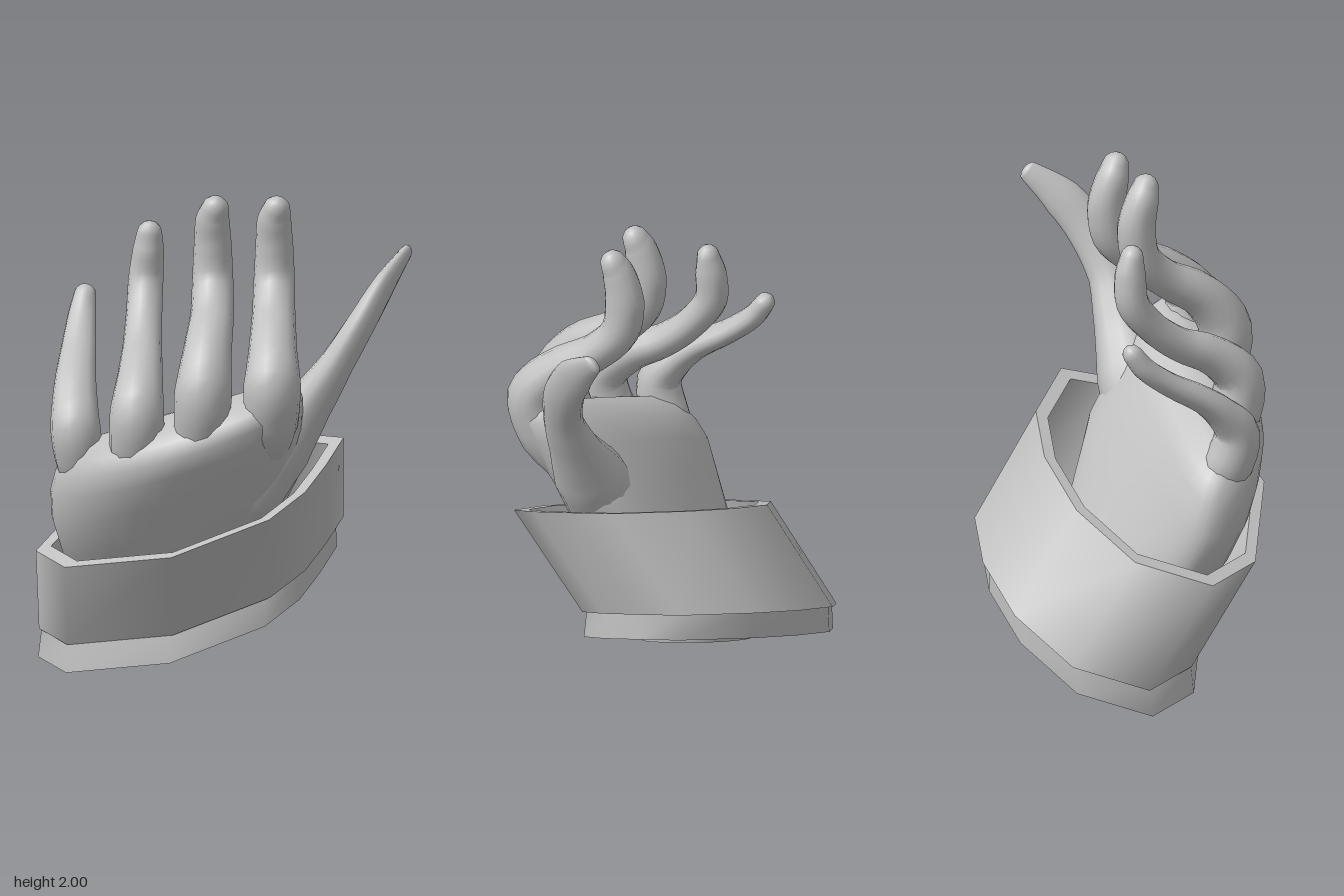
import * as THREE from 'three';

const V = (x, y, z) => new THREE.Vector3(x, y, z);

// Skin a list of equal-length rings; an optional cap closes the far end
function loft(rings, capEnd = false) {
  const n = rings[0].length, pts = rings.flat(), index = [];
  for (let i = 0; i < rings.length - 1; i++) {
    for (let j = 0; j < n; j++) {
      const a = i * n + j, b = i * n + (j + 1) % n;
      index.push(a, b, b + n, a, b + n, a + n);
    }
  }
  if (capEnd) {
    const base = pts.length - n;
    pts.push(rings[rings.length - 1].reduce((s, p) => s.add(p), V(0, 0, 0)).divideScalar(n));
    for (let j = 0; j < n; j++) index.push(base + j, base + (j + 1) % n, base + n);
  }
  const g = new THREE.BufferGeometry().setFromPoints(pts);
  g.setIndex(index);
  g.computeVertexNormals();
  return g;
}

// Finger: rows of [x, y, z, halfWidth, halfThickness] along a smooth path with a round tip
function finger(rows, sideHint) {
  const curve = new THREE.CatmullRomCurve3(rows.map(r => V(r[0], r[1], r[2])));
  const steps = (rows.length - 1) * 4, sides = 14, rings = [];
  const addRing = (c, tan, w, t) => {
    const side = sideHint.clone().addScaledVector(tan, -sideHint.dot(tan)).normalize();
    const nor = tan.clone().cross(side);
    rings.push(Array.from({ length: sides }, (_, j) => {
      const a = j / sides * Math.PI * 2;
      return c.clone().addScaledVector(side, Math.cos(a) * w).addScaledVector(nor, Math.sin(a) * t);
    }));
  };
  for (let i = 0; i <= steps; i++) {
    const f = i / steps * (rows.length - 1), k = Math.min(Math.floor(f), rows.length - 2);
    const mix = q => THREE.MathUtils.lerp(rows[k][q], rows[k + 1][q], f - k);
    addRing(curve.getPoint(i / steps), curve.getTangent(i / steps), mix(3), mix(4));
  }
  const end = curve.getPoint(1), tan = curve.getTangent(1), last = rows[rows.length - 1];
  for (const a of [0.5, 1, 1.4]) {
    addRing(end.clone().addScaledVector(tan, Math.sin(a) * last[4]), tan, last[3] * Math.cos(a), last[4] * Math.cos(a));
  }
  return loft(rings, true);
}

// Palm: rows of [x, y, z, halfWidth, halfThickness, bow], sections slanting up to +x, open at the wrist
function palm(rows) {
  const sides = 40;
  return loft(rows.map(([x, y, z, w, t, bow]) => Array.from({ length: sides }, (_, j) => {
    const a = j / sides * Math.PI * 2;
    const u = Math.cos(a), v = -Math.sign(Math.sin(a)) * Math.abs(Math.sin(a)) ** 0.8;
    return V(x + u * w, y + u * w * 0.37 - v * t * 0.15, z + v * t + bow * (0.9 * u - 0.5 * u * u));
  })), true);
}

// Cuff outline (x, z) of the slanted top rim
const rim = [
  [0.475, 0.04], [0.41, 0.24], [0.33, 0.43], [0.19, 0.57], [-0.2, 0.59], [-0.63, 0.31],
  [-0.75, 0.05], [-0.6, -0.22], [-0.3, -0.32], [0, -0.3], [0.25, -0.2],
];
function cuffRing(scale, dx, dy, dz) {
  return rim.map(([px, pz]) => {
    const x = -0.14 + (px + 0.14) * scale, z = 0.13 + (pz - 0.13) * scale;
    return V(x + dx, 0.805 + 0.384 * x - 0.165 * z + dy, z + dz);
  });
}

export function createModel() {
  const model = new THREE.Group();
  const grey = new THREE.MeshStandardMaterial({ color: 0xc0c0c0, side: THREE.DoubleSide });
  grey.name = 'light grey';
  const add = (name, geometry, parent = model) => {
    const mesh = new THREE.Mesh(geometry, grey);
    mesh.name = name;
    parent.add(mesh);
  };

  // Cuff: separate strips keep the rim edges sharp
  const cuff = new THREE.Group();
  cuff.name = 'cuff';
  model.add(cuff);
  const top = cuffRing(1, 0, 0, 0), bottom = cuffRing(0.99, 0, -0.4, -0.285);
  const hemTop = cuffRing(0.955, -0.01, -0.4, -0.28), hemBottom = cuffRing(0.97, -0.015, -0.518, -0.275);
  const innerBottom = cuffRing(0.965, -0.015, -0.518, -0.275), innerMiddle = cuffRing(0.945, -0.01, -0.4, -0.28);
  const innerTop = cuffRing(0.9, 0, 0, 0);
  const strips = [
    ['cuffBand', top, bottom], ['cuffLip', bottom, hemTop], ['cuffHem', hemTop, hemBottom],
    ['cuffHemEdge', hemBottom, innerBottom], ['cuffLining', innerBottom, innerMiddle, innerTop],
    ['cuffRim', innerTop, top],
  ];
  for (const [name, ...rings] of strips) add(name, loft(rings), cuff);

  // Wrist and palm
  add('palm', palm([
    [-0.15, 0.18, -0.08, 0.27, 0.205, 0],
    [-0.16, 0.36, -0.06, 0.29, 0.205, 0],
    [-0.17, 0.52, 0.035, 0.38, 0.208, 0.02],
    [-0.17, 0.7, 0.145, 0.475, 0.22, 0.05],
    [-0.185, 0.86, 0.24, 0.5, 0.22, 0.08],
    [-0.185, 0.98, 0.31, 0.505, 0.215, 0.11],
    [-0.175, 1.06, 0.355, 0.495, 0.198, 0.12],
    [-0.175, 1.12, 0.385, 0.46, 0.15, 0.12],
    [-0.175, 1.15, 0.4, 0.4, 0.08, 0.1],
  ]));

  // Four fingers leaning back, tips curling up; roots sink into the palm
  const across = V(1, 0, 0);
  const longFinger = (x, drop, lean) => finger([
    [x - lean - 0.05, 0.94 - drop, 0.29, 0.08, 0.06], [x - lean - 0.01, 1.14 - drop, 0.43, 0.11, 0.11],
    [x - lean, 1.31 - drop / 2, 0.48, 0.115, 0.108], [x - lean / 2, 1.43, 0.385, 0.097, 0.09],
    [x, 1.54, 0.22, 0.086, 0.076], [x, 1.65, 0.115, 0.082, 0.077], [x, 1.79, 0.095, 0.075, 0.08],
    [x, 1.9, 0.12, 0.068, 0.066], [x + 0.01, 1.95, 0.14, 0.056, 0.052],
  ], across);
  add('indexFinger', longFinger(0.2, 0, 0));
  add('middleFinger', longFinger(-0.045, 0.06, 0.03));
  add('ringFinger', finger([
    [-0.34, 0.84, 0.24, 0.09, 0.06], [-0.34, 1.02, 0.365, 0.112, 0.11], [-0.34, 1.18, 0.395, 0.108, 0.1],
    [-0.33, 1.3, 0.28, 0.09, 0.08], [-0.325, 1.38, 0.13, 0.078, 0.068], [-0.32, 1.48, 0.01, 0.072, 0.064],
    [-0.315, 1.6, -0.075, 0.07, 0.066], [-0.305, 1.72, -0.078, 0.062, 0.064], [-0.3, 1.795, -0.068, 0.05, 0.045],
  ], across));
  add('littleFinger', finger([
    [-0.5, 0.78, 0.14, 0.07, 0.06], [-0.565, 0.92, 0.215, 0.1, 0.1], [-0.588, 1.07, 0.25, 0.1, 0.09],
    [-0.592, 1.17, 0.18, 0.09, 0.068], [-0.59, 1.25, 0.09, 0.08, 0.055], [-0.58, 1.34, -0.05, 0.068, 0.048],
    [-0.57, 1.43, -0.16, 0.056, 0.046], [-0.56, 1.5, -0.21, 0.044, 0.04],
  ], across));

  // Thumb with a broad root, flat towards the tip
  add('thumb', finger([
    [0, 0.66, 0.16, 0.1, 0.1], [0.1, 0.83, 0.21, 0.15, 0.15], [0.22, 1.01, 0.235, 0.155, 0.14],
    [0.345, 1.18, 0.25, 0.118, 0.092], [0.455, 1.35, 0.255, 0.092, 0.066], [0.555, 1.51, 0.215, 0.09, 0.054],
    [0.64, 1.64, 0.135, 0.08, 0.04], [0.725, 1.745, 0.03, 0.042, 0.022],
  ], V(-0.4, 0, 0.9)));

  return model;
}
